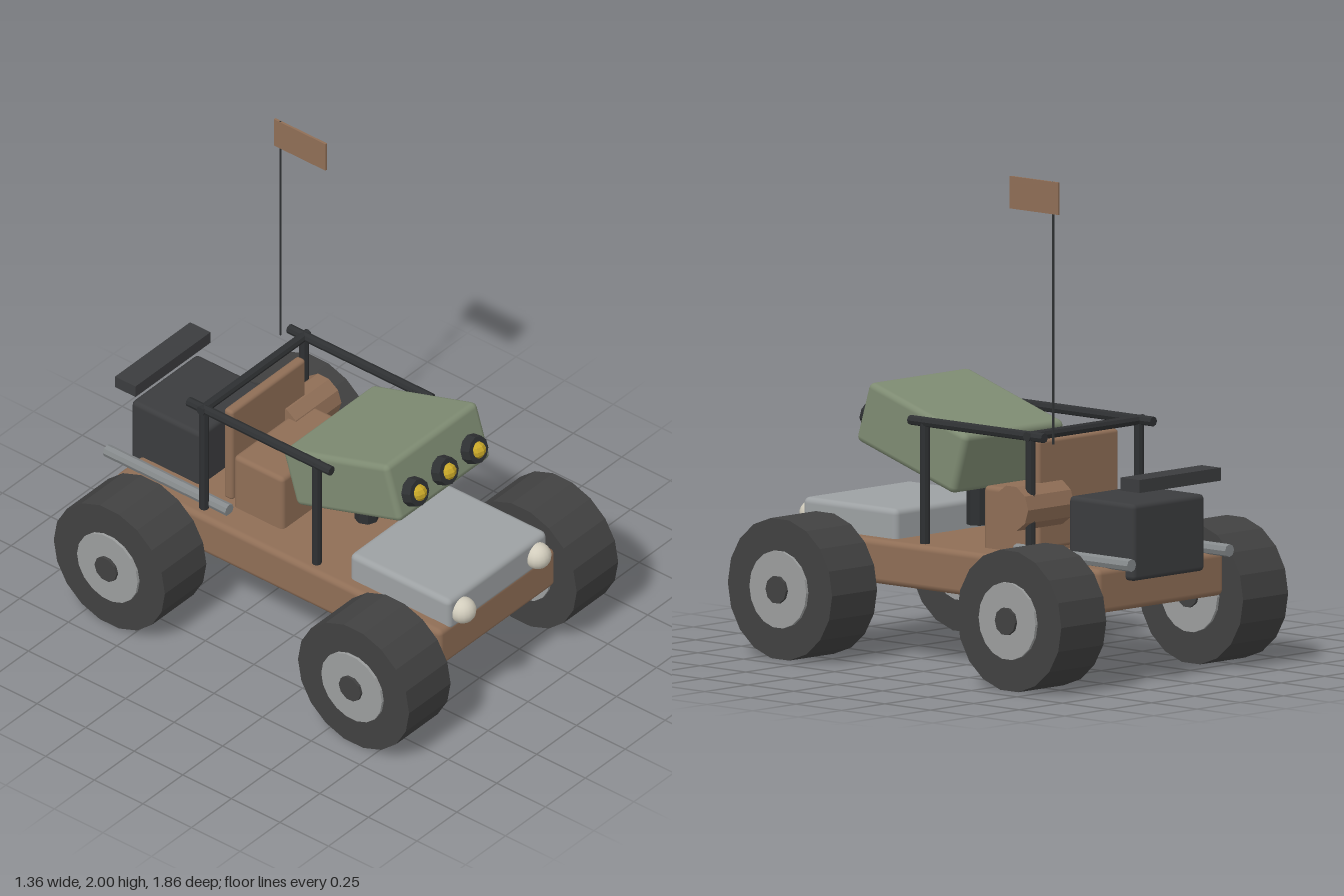
import * as THREE from 'three';
import { RoundedBoxGeometry } from 'three/addons/geometries/RoundedBoxGeometry.js';

const paint = (name, color) => {
  const m = new THREE.MeshStandardMaterial({ color });
  m.name = name;
  return m;
};

export function createModel() {
  const model = new THREE.Group();
  model.name = 'buggy';
  const brown = paint('brown', 0x8f6e56);
  const rubber = paint('rubber', 0x414141);
  const black = paint('black', 0x2e3032);
  const charcoal = paint('charcoal', 0x3b3c3e);
  const green = paint('green', 0x7e8b72);
  const silver = paint('silver', 0x9da1a3);
  const hubGrey = paint('hubGrey', 0x9b9d9d);
  const steel = paint('steel', 0x85898b);
  const cream = paint('cream', 0xd2cdbd);
  const yellow = paint('yellow', 0xc8a728);

  const add = (name, geometry, material, x, y, z, parent = model) => {
    const mesh = new THREE.Mesh(geometry, material);
    mesh.name = name;
    mesh.position.set(x, y, z);
    parent.add(mesh);
    return mesh;
  };
  // Faceted copy of a geometry
  const flat = (g) => {
    const f = g.toNonIndexed();
    f.computeVertexNormals();
    return f;
  };
  // Faceted cylinder lying along the given axis
  const rod = (axis, r, length, sides = 8, r2 = r) => {
    const g = new THREE.CylinderGeometry(r2, r, length, sides);
    if (axis === 'x') g.rotateZ(-Math.PI / 2);
    if (axis === 'z') g.rotateX(Math.PI / 2);
    return flat(g);
  };
  const block = (w, h, d, r = 0.02) => new RoundedBoxGeometry(w, h, d, 2, r);

  // Body and hood
  add('chassis', block(0.73, 0.18, 1.675, 0.025), brown, 0, 0.39, 0.008);
  add('hood', block(0.62, 0.15, 0.515, 0.025), silver, 0, 0.525, 0.59);

  // Seat
  add('seat', block(0.465, 0.27, 0.255), brown, 0, 0.595, -0.2);
  add('seatBack', block(0.465, 0.44, 0.045, 0.015), brown, 0, 0.72, -0.355);
  add('bedroll', rod('x', 0.093, 0.265, 10), brown, 0.2325, 0.68, -0.353);

  // Engine and rear wing
  add('engine', block(0.415, 0.31, 0.36), charcoal, 0, 0.575, -0.695);
  add('rearWing', new THREE.BoxGeometry(0.47, 0.052, 0.105), charcoal, 0, 0.812, -0.88);

  for (const side of [-1, 1]) {
    // Headlights, exhausts and the sides of the roll cage
    add('headlight', new THREE.SphereGeometry(0.055, 16, 12), cream, side * 0.235, 0.525, 0.857);
    add('exhaust', rod('z', 0.026, 0.63), steel, side * 0.283, 0.5, -0.62);
    for (const z of [0.17, -0.41]) {
      add('cagePost', rod('y', 0.02, 0.51), black, side * 0.313, 0.725, z);
    }
    add('cageRail', rod('z', 0.02, 0.735), black, side * 0.315, 0.97, -0.12);

    // Wheels
    for (const z of [0.64, -0.617]) {
      const wheel = new THREE.Group();
      wheel.name = 'wheel';
      wheel.position.set(side * 0.525, 0.285, z);
      model.add(wheel);
      add('tyre', rod('x', 0.286, 0.26, 18), rubber, 0, 0, 0, wheel);
      add('hub', rod('x', 0.156, 0.285, 18), hubGrey, 0, 0, 0, wheel);
      add('hubCap', rod('x', 0.056, 0.31, 10), rubber, 0, 0, 0, wheel);
    }
  }
  add('cageCrossbar', rod('x', 0.02, 0.675), black, 0, 0.97, -0.41);

  // Tilted launcher on its pedestal, with three lamps on the front face
  add('pedestal', rod('y', 0.05, 0.33), black, 0, 0.69, 0.17);
  const launcher = new THREE.Group();
  launcher.name = 'launcher';
  launcher.position.set(0, 0.89, 0.273);
  launcher.rotation.x = -0.3;
  model.add(launcher);
  add('launcherBox', block(0.575, 0.255, 0.565, 0.025), green, 0, 0, 0, launcher);
  for (const x of [-0.185, 0, 0.185]) {
    add('lampHousing', rod('z', 0.063, 0.05, 10, 0.057), black, x, -0.035, 0.3, launcher);
    add('lamp', flat(new THREE.SphereGeometry(0.036, 8, 6)), yellow, x, -0.035, 0.318, launcher);
  }

  // Aerial and flag
  add('aerial', rod('y', 0.005, 1.055, 6), black, 0.287, 1.4725, -0.51);
  add('flag', new THREE.BoxGeometry(0.01, 0.13, 0.265), brown, 0.287, 1.935, -0.407);

  return model;
}
